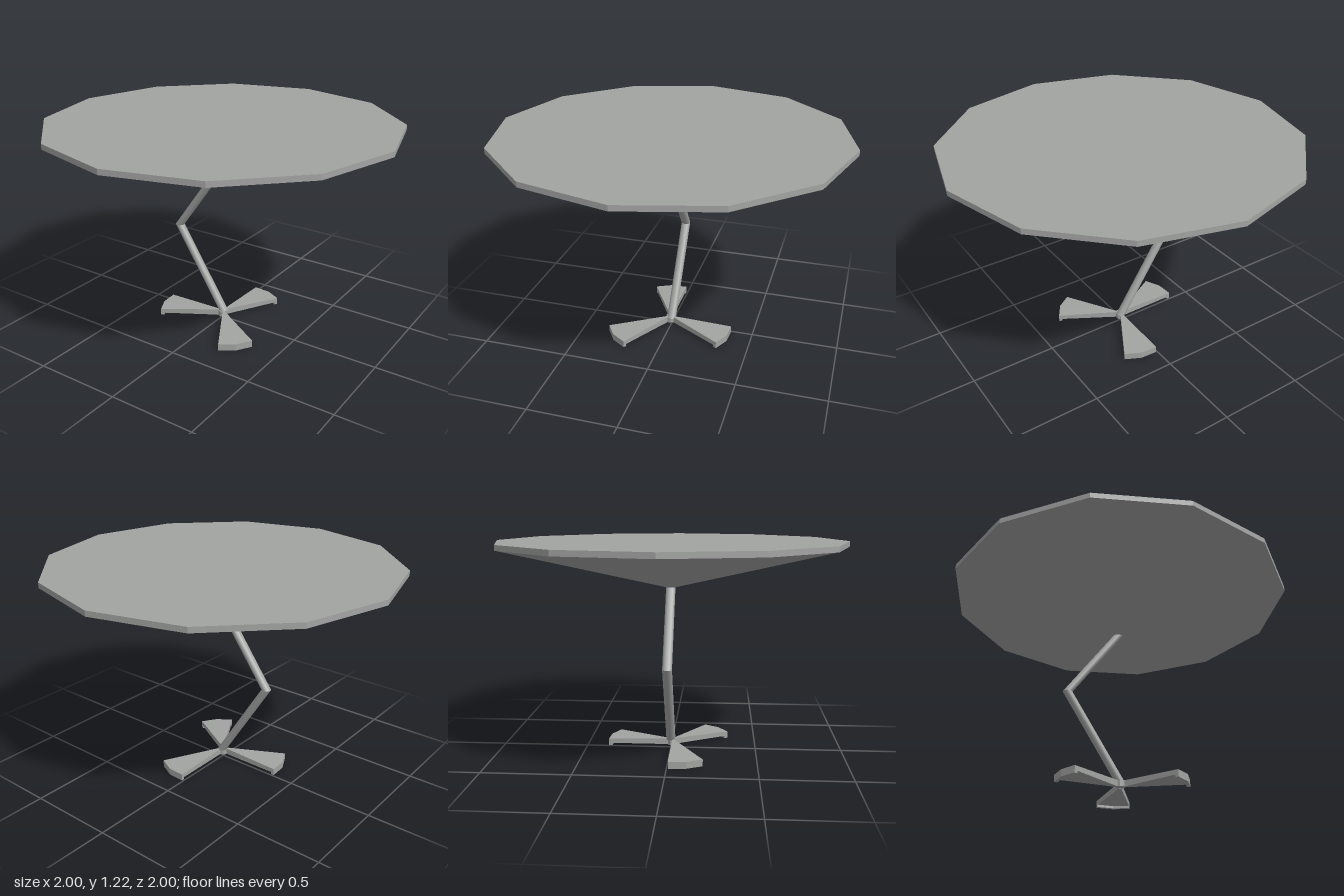
import * as THREE from 'three';

export function createModel() {
  const model = new THREE.Group();
  const grey = new THREE.MeshStandardMaterial({ color: 0xa2a4a2 });
  grey.name = 'grey';

  const add = (name, geometry, parent = model) => {
    const mesh = new THREE.Mesh(geometry, grey);
    mesh.name = name;
    parent.add(mesh);
    return mesh;
  };
  const flat = (geometry) => {
    const g = geometry.index ? geometry.toNonIndexed() : geometry;
    g.computeVertexNormals();
    return g;
  };

  const SIDES = 12, POLE = 0.027, CENTRE = 0.008;

  // Twelve-sided top with a shallow cone beneath it
  add('tableTop', flat(new THREE.CylinderGeometry(1, 1, 0.03, SIDES))).position.y = 1.205;
  add('underCone', new THREE.CylinderGeometry(1, POLE, 0.235, SIDES, 1, true)).position.y = 1.0735;

  // Bent leg: two sheared tubes whose ends stay horizontal
  const strut = (name, x0, y0, x1, y1) => {
    const g = new THREE.CylinderGeometry(POLE, POLE, y1 - y0, SIDES, 1, true);
    const shear = new THREE.Matrix4();
    shear.elements[4] = (x1 - x0) / (y1 - y0);
    g.applyMatrix4(shear);
    add(name, g).position.set((x0 + x1) / 2, (y0 + y1) / 2, 0);
  };
  strut('lowerLeg', CENTRE, 0.045, -0.31, 0.54);
  strut('upperLeg', -0.31, 0.54, 0, 0.965);

  // Base: small hub with three wedge feet, each with a lip under its outer end
  const base = new THREE.Group();
  base.name = 'base';
  base.position.set(CENTRE, 0, CENTRE);
  model.add(base);
  add('hub', flat(new THREE.CylinderGeometry(POLE, POLE, 0.035, SIDES)), base).position.y = 0.0325;

  const point = (r, degrees) => {
    const a = THREE.MathUtils.degToRad(degrees);
    return new THREE.Vector2(r * Math.cos(a), r * Math.sin(a));
  };
  const slab = (points, y0, y1) => {
    const g = new THREE.ExtrudeGeometry(new THREE.Shape(points), { depth: y1 - y0, bevelEnabled: false });
    return g.rotateX(-Math.PI / 2).translate(0, y0, 0);
  };
  const outer = [point(0.38, -60), point(0.387, -45), point(0.38, -30)];

  const wedge = slab([point(POLE, -60), ...outer, point(POLE, -30)], 0.014, 0.04);
  const p = wedge.attributes.position;
  for (let i = 0; i < p.count; i++) {
    // raise the upper face towards the hub
    if (p.getY(i) > 0.03 && Math.hypot(p.getX(i), p.getZ(i)) < 0.1) p.setY(i, 0.05);
  }
  const wedgeFlat = flat(wedge);
  const lip = slab([...outer, point(0.36, -30), point(0.367, -45), point(0.36, -60)], 0, 0.014);

  for (let i = 0; i < 3; i++) {
    const foot = new THREE.Group();
    foot.name = 'foot' + (i + 1);
    foot.rotation.y = (i * 2 * Math.PI) / 3;
    add('footWedge', wedgeFlat, foot);
    add('footLip', lip, foot);
    base.add(foot);
  }
  return model;
}
